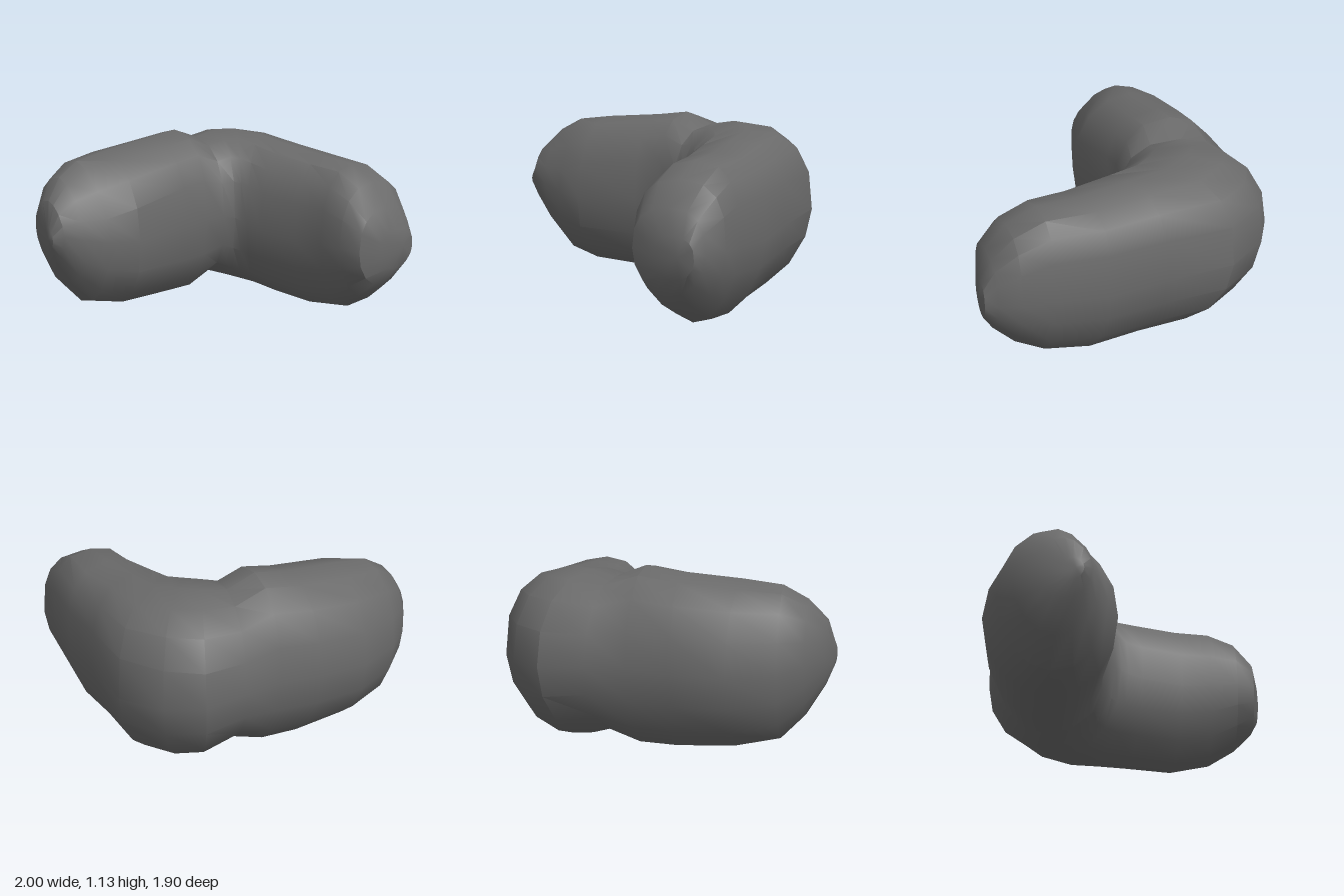
import * as THREE from 'three';
import { toCreasedNormals } from 'three/addons/utils/BufferGeometryUtils.js';

// Cross-sections along the bent path:
// inner x, inner z, outer x, outer z, bottom y, top y
const SECTIONS = [
  [-1.0, -0.37, -0.97, -0.5, 0.56, 0.7],
  [-0.95, -0.32, -0.94, -0.64, 0.46, 0.85],
  [-0.84, -0.27, -0.83, -0.77, 0.28, 0.97],
  [-0.69, -0.21, -0.69, -0.86, 0.13, 1.05],
  [-0.51, -0.14, -0.41, -0.95, 0.08, 1.08],
  [-0.1, -0.18, -0.1, -0.935, 0.06, 1.11],
  [0.07, -0.17, 0.16, -0.9, 0.06, 1.14],
  [0.19, -0.13, 0.4, -0.92, 0.14, 1.07],
  [0.25, -0.09, 0.67, -0.93, 0.09, 1.1],
  [0.27, -0.05, 0.86, -0.79, 0.06, 1.1],
  [0.28, 0.0, 1.0, -0.52, 0.04, 1.08],
  [0.3, 0.1, 0.97, -0.1, 0.025, 1.05],
  [0.34, 0.37, 0.965, 0.25, 0.01, 1.02],
  [0.36, 0.57, 0.92, 0.57, 0.06, 1.01],
  [0.345, 0.74, 0.91, 0.76, 0.17, 0.93],
  [0.39, 0.86, 0.84, 0.88, 0.29, 0.79],
  [0.53, 0.91, 0.8, 0.945, 0.4, 0.65],
];
// Squareness of each quarter at some sections:
// section, top inner, top outer, bottom inner, bottom outer
const SQUARENESS = [
  [0, 1.7, 2.1, 1.9, 1.8],
  [3, 1.65, 2.1, 2.1, 1.9],
  [5, 2.6, 2.05, 2.4, 1.9],
  [8, 2.6, 2.1, 2.3, 1.9],
  [10, 2.5, 2.5, 2.1, 1.8],
  [12, 2.6, 2.9, 1.9, 1.7],
  [16, 2.5, 2.7, 2.0, 1.9],
];
const SIDES = 16;

function squareness(s, quarter) {
  const k = Math.max(1, SQUARENESS.findIndex((row) => row[0] >= s));
  const [from, to] = [SQUARENESS[k - 1], SQUARENESS[k]];
  return THREE.MathUtils.mapLinear(s, from[0], to[0], from[quarter], to[quarter]);
}
const rounded = (v, power) => Math.sign(v) * Math.abs(v) ** (2 / power);

function createRockGeometry() {
  const positions = [];
  const index = [];
  SECTIONS.forEach(([ix, iz, ox, oz, bottom, top], s) => {
    for (let i = 0; i < SIDES; i++) {
      const a = (i / SIDES) * Math.PI * 2;
      const c = Math.cos(a), h = Math.sin(a);
      const power = squareness(s, 1 + (c > 0 ? 1 : 0) + (h < 0 ? 2 : 0));
      const t = 0.5 + 0.5 * rounded(c, power);
      const v = 0.5 + 0.5 * rounded(h, power);
      positions.push(
        THREE.MathUtils.lerp(ix, ox, t),
        THREE.MathUtils.lerp(bottom, top, v),
        THREE.MathUtils.lerp(iz, oz, t),
      );
    }
  });

  // Skin between neighbouring sections
  for (let s = 0; s < SECTIONS.length - 1; s++) {
    for (let i = 0; i < SIDES; i++) {
      const j = (i + 1) % SIDES;
      const a = s * SIDES + i, b = s * SIDES + j;
      index.push(a, b, b + SIDES, a, b + SIDES, a + SIDES);
    }
  }

  // Blunt end caps
  const start = positions.length / 3;
  positions.push(-1, 0.63, -0.42, 0.7, 0.54, 0.95);
  const last = (SECTIONS.length - 1) * SIDES;
  for (let i = 0; i < SIDES; i++) {
    const j = (i + 1) % SIDES;
    index.push(start, j, i, start + 1, last + i, last + j);
  }

  const geometry = new THREE.BufferGeometry();
  geometry.setAttribute('position', new THREE.Float32BufferAttribute(positions, 3));
  geometry.setIndex(index);
  geometry.computeBoundingBox();
  geometry.translate(0, -geometry.boundingBox.min.y, 0);
  return toCreasedNormals(geometry, 0.6);
}

export function createModel() {
  const group = new THREE.Group();
  group.name = 'bentRock';
  const rock = new THREE.Mesh(
    createRockGeometry(),
    new THREE.MeshStandardMaterial({ color: 0x6a6a6a }),
  );
  rock.name = 'rock';
  group.add(rock);
  return group;
}
